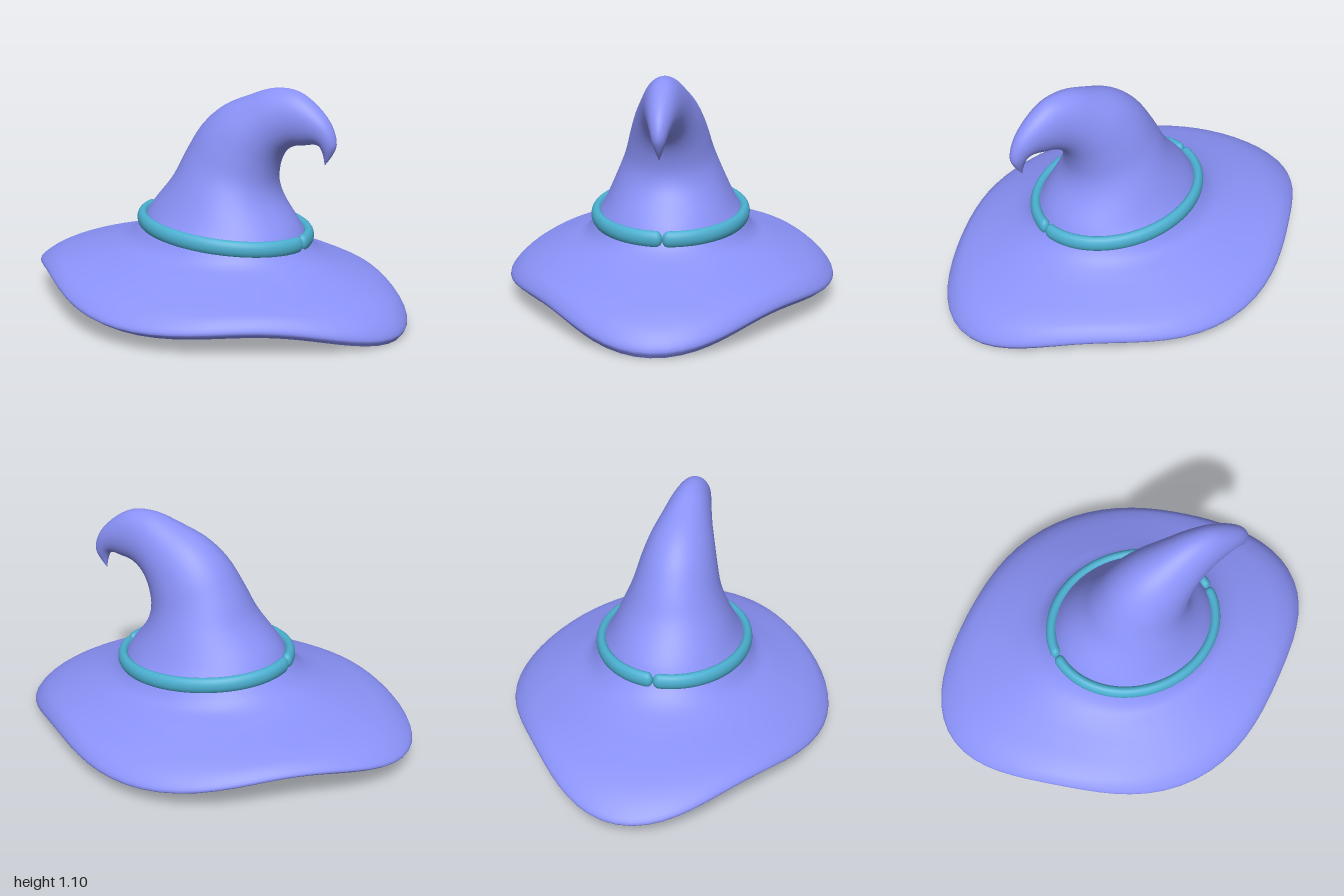
import * as THREE from 'three';

const SIDES = 72;

// One closed ring: left end (xL,yL), right end (xR,yR), half depth rz, height yZ at
// front and back, k pulls the diagonals in, wave lifts them.
function ring([xL, yL, xR, yR, rz, yZ = (yL + yR) / 2, k = 0, wave = 0]) {
  const mid = (yL + yR) / 2, pts = [];
  for (let j = 0; j < SIDES; j++) {
    const a = (j / SIDES) * Math.PI * 2;
    const m = 1 - k * Math.sin(2 * a) ** 2;
    pts.push(new THREE.Vector3(
      (xL + xR) / 2 + ((xR - xL) / 2) * Math.cos(a) * m,
      (mid + yZ) / 2 - wave + ((yR - yL) / 2) * Math.cos(a)
        + ((mid - yZ) / 2) * Math.cos(2 * a) + wave * Math.cos(4 * a),
      rz * Math.sin(a) * m));
  }
  return pts;
}

// Smoothly adds rows between the given rings.
function smoothRows(rings, steps) {
  const n = (rings.length - 1) * steps;
  const curves = rings[0].map((_, j) => new THREE.CatmullRomCurve3(rings.map(r => r[j])));
  return Array.from({ length: n + 1 }, (_, i) => curves.map(c => c.getPoint(i / n)));
}

// Skin over rows of points, each row closed on itself.
function loft(rows) {
  const cols = rows[0].length, index = [];
  for (let i = 0; i < rows.length - 1; i++) {
    for (let j = 0; j < cols; j++) {
      const a = i * cols + j, b = i * cols + (j + 1) % cols;
      index.push(a, a + cols, b, b, a + cols, b + cols);
    }
  }
  const g = new THREE.BufferGeometry().setFromPoints(rows.flat());
  g.setIndex(index);
  g.computeVertexNormals();
  return g;
}

export function createModel() {
  const group = new THREE.Group();
  const cloth = new THREE.MeshStandardMaterial({ color: 0x8a92f8, side: THREE.DoubleSide });
  const trim = new THREE.MeshStandardMaterial({ color: 0x4bafd0 });
  const add = (name, geometry, material) => {
    const mesh = new THREE.Mesh(geometry, material);
    mesh.name = name;
    group.add(mesh);
  };

  // Brim edge, brim top, crown and curled tip in one skin
  const rimBottom = [-0.97, 0.1, 0.985, 0.005, 0.755, 0.078, 0.09, -0.03];
  const outer = [
    rimBottom,
    [-1, 0.125, 1, 0.035, 0.79, 0.105, 0.09, -0.03],
    [-0.95, 0.175, 0.955, 0.105, 0.755, 0.155, 0.085, -0.025],
    [-0.85, 0.23, 0.87, 0.165, 0.7, 0.195, 0.075, -0.015],
    [-0.7, 0.275, 0.74, 0.22, 0.61, 0.238, 0.05, -0.006],
    [-0.55, 0.315, 0.6, 0.275, 0.5, 0.285, 0.02],
    [-0.44, 0.36, 0.52, 0.32, 0.41, 0.325],
    [-0.365, 0.43, 0.475, 0.37, 0.355, 0.41],
    [-0.315, 0.51, 0.435, 0.44, 0.315],
    [-0.2, 0.65, 0.352, 0.56, 0.255],
    [-0.13, 0.78, 0.33, 0.64, 0.212],
    [-0.045, 0.91, 0.34, 0.72, 0.182],
    [0.06, 1.0, 0.365, 0.78, 0.155],
    [0.2, 1.062, 0.4, 0.82, 0.125],
    [0.33, 1.103, 0.45, 0.845, 0.1],
    [0.45, 1.097, 0.5, 0.852, 0.08],
    [0.56, 1.03, 0.55, 0.86, 0.06],
    [0.63, 0.95, 0.575, 0.852, 0.044],
    [0.655, 0.87, 0.587, 0.83, 0.03],
    [0.637, 0.82, 0.594, 0.805, 0.017],
    [0.601, 0.77, 0.599, 0.77, 0.001],
  ];
  add('brimAndCrown', loft(smoothRows(outer.map(ring), 4)), cloth);

  // Underside of the brim, from the head opening to the rim
  const under = [
    [-0.4, 0.2, 0.49, 0.17, 0.42, 0.18],
    [-0.7, 0.17, 0.75, 0.11, 0.6, 0.13, 0.05, -0.015],
    rimBottom,
  ];
  add('brimUnderside', loft(smoothRows(under.map(ring), 6)), cloth);

  // Hat band: two half loops with rounded ends that meet at the sides
  const halfBand = start => {
    const rows = [], n = 60;
    for (let i = 0; i <= n; i++) {
      const t = (1 - Math.cos((i / n) * Math.PI)) / 2;
      const a = start + t * Math.PI;
      const end = Math.min(1, Math.min(t, 1 - t) / 0.025);
      const s = Math.sqrt(Math.max(0, 1 - (1 - end) ** 2));
      const row = [];
      for (let j = 0; j < 20; j++) {
        const b = (j / 20) * Math.PI * 2;
        const out = 0.027 * s * Math.cos(b);
        row.push(new THREE.Vector3(
          0.057 + (0.42 + out) * Math.cos(a),
          0.413 - 0.034 * Math.cos(a) - 0.039 * s * Math.sin(b),
          (0.355 + out) * Math.sin(a)));
      }
      rows.push(row);
    }
    return loft(rows);
  };
  add('frontBand', halfBand(0), trim);
  add('backBand', halfBand(Math.PI), trim);

  return group;
}
